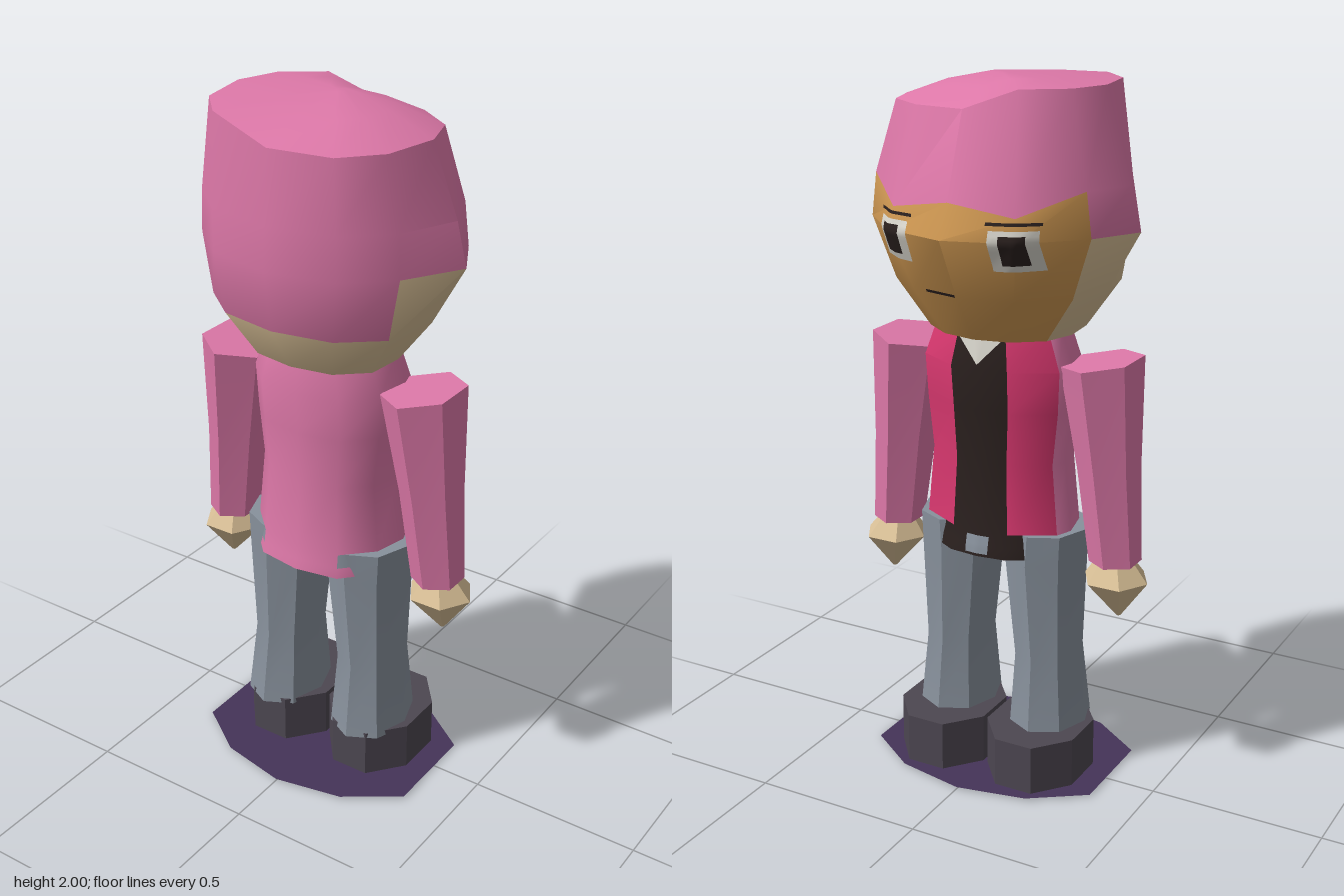
import * as THREE from 'three';
import { toCreasedNormals } from 'three/addons/utils/BufferGeometryUtils.js';

const paint = (name, color, side = THREE.FrontSide) => {
  const m = new THREE.MeshStandardMaterial({ color, side });
  m.name = name;
  return m;
};

export function createModel() {
  const pink = paint('pink cloth', 0xdd78a8);
  const crimson = paint('crimson lapel', 0xd8386f);
  const tan = paint('pale skin', 0xd8bf96);
  const orange = paint('face skin', 0xcf9852);
  const denim = paint('grey denim', 0x88919c);
  const shoe = paint('dark shoe', 0x4d4751);
  const black = paint('black', 0x2a201e);
  const white = paint('off white', 0xd8d5cc);
  const shade = paint('purple base', 0x453458, THREE.DoubleSide);

  const model = new THREE.Group();
  const add = (name, geo, mat, parent = model) => {
    const mesh = new THREE.Mesh(geo, mat);
    mesh.name = name;
    parent.add(mesh);
    return mesh;
  };

  // Skin closed rings (listed bottom to top, counterclockwise from above); pick(band, column) gives the material
  function loft(name, rings, pick, parent = model, crease = 0.75) {
    const n = rings[0].length, pos = rings.flat(2), byMat = new Map();
    const tri = (m, ...v) => byMat.set(m, [...(byMat.get(m) || []), ...v]);
    const last = rings.length - 1;
    const centre = (r) => {
      const c = [0, 1, 2].map((k) => r.reduce((s, p) => s + p[k], 0) / n);
      pos.push(...c);
      return pos.length / 3 - 1;
    };
    const lo = centre(rings[0]), hi = centre(rings[last]);
    for (let j = 0; j < n; j++) {
      const k = (j + 1) % n;
      for (let i = 0; i < last; i++) {
        const a = i * n + j, b = i * n + k;
        tri(pick(i, j), a, b, b + n, a, b + n, a + n);
      }
      tri(pick(0, j), lo, k, j);
      tri(pick(last - 1, j), hi, last * n + j, last * n + k);
    }
    const geo = new THREE.BufferGeometry(), index = [], mats = [...byMat.keys()];
    mats.forEach((m, i) => {
      geo.addGroup(index.length, byMat.get(m).length, i);
      index.push(...byMat.get(m));
    });
    geo.setAttribute('position', new THREE.Float32BufferAttribute(pos, 3));
    geo.setIndex(index);
    return add(name, toCreasedNormals(geo, crease), mats, parent);
  }

  // Mirrored ring from half an outline [x, z, y?] running from the +z end to the -z end
  const mirrorRing = (y, half) => {
    const right = half.map(([x, z, py]) => [x, py ?? y, z]);
    const left = right.slice(1, -1).reverse().map(([x, py, z]) => [-x, py, z]);
    return [...right, ...left];
  };
  const halfColumn = (j) => (j < 6 ? j : 11 - j);

  const oval = (cx, y, cz, rx, rz, n, phase = 0, slope = 0) =>
    Array.from({ length: n }, (_, i) => {
      const a = phase + (i / n) * Math.PI * 2;
      const dx = Math.sin(a) * rx;
      return [cx + dx, y + dx * slope, cz + Math.cos(a) * rz];
    });

  // Thin plate draped over the -z side of a mesh
  const ray = new THREE.Raycaster();
  function patch(name, target, x0, x1, y0, y1, mat, lift = 0.006, taper = false) {
    const geo = new THREE.PlaneGeometry(1, 1, 8, 8), p = geo.attributes.position;
    for (let i = 0; i < p.count; i++) {
      const v = p.getY(i) + 0.5;
      const x = (x0 + x1) / 2 - p.getX(i) * (x1 - x0) * (taper ? v : 1);
      const y = y0 + (y1 - y0) * v;
      ray.set(new THREE.Vector3(x, y, -2), new THREE.Vector3(0, 0, 1));
      const hit = ray.intersectObject(target)[0];
      p.setXYZ(i, x, y, (hit ? hit.point.z : 0) - lift);
    }
    geo.computeVertexNormals();
    add(name, geo, mat);
  }

  // Head and hood
  const crown = [[0, 0.305], [0.18, 0.28], [0.27, 0.18], [0.3, 0.02], [0.26, -0.1], [0.15, -0.18], [0, -0.2]];
  const headRings = [
    mirrorRing(1.31, [[0, 0.22], [0.12, 0.2], [0.2, 0.13], [0.21, 0.02], [0.18, -0.07], [0.1, -0.13], [0, -0.15]]),
    mirrorRing(1.44, [[0, 0.3], [0.17, 0.27], [0.28, 0.18], [0.31, 0.02], [0.27, -0.1], [0.15, -0.2], [0, -0.235]]),
    mirrorRing(1.61, [[0, 0.325], [0.19, 0.285], [0.31, 0.18], [0.405, 0.02], [0.33, -0.12], [0.19, -0.265], [0, -0.322]]),
    mirrorRing(1.73, [[0, 0.32], [0.19, 0.285], [0.305, 0.18], [0.375, 0.02], [0.315, -0.12],
      [0.18, -0.25, 1.67], [0, -0.28, 1.7]]),
    mirrorRing(1.925, crown),
    mirrorRing(1.972, crown.map(([x, z]) => [x * 0.55, z * 0.55])),
    mirrorRing(2, crown.map(([x, z]) => [x * 0.1, z * 0.1])),
  ];
  // The hood sits a little higher on one side
  headRings[4].forEach((p) => { if (p[0] < -0.01) p[1] += 0.055; });
  headRings[5].forEach((p) => { if (p[0] < -0.01) p[1] += 0.022; });
  const head = loft('head and hood', headRings, (i, j) => {
    const c = halfColumn(j);
    if (i > 2) return pink;
    if (c > 3) return orange;
    return i === 2 || (i === 1 && c < 2) ? pink : tan;
  });

  // Face details
  for (const s of [1, -1]) {
    const spot = (name, a, b, y0, y1, mat, lift) =>
      patch(name, head, Math.min(s * a, s * b), Math.max(s * a, s * b), y0, y1, mat, lift);
    spot('eye white', 0.12, 0.235, 1.53, 1.64, white, 0.006);
    spot('pupil', 0.148, 0.21, 1.548, 1.628, black, 0.0095);
    spot('eyebrow', 0.11, 0.24, 1.652, 1.66, black, 0.006);
  }
  patch('mouth', head, 0, 0.1, 1.445, 1.453, black);

  // Jacket: outline scaled per level as [y, width, back, front]
  const coat = [[0, 1], [0.55, 0.9], [0.9, 0.5], [1, 0], [0.92, -0.4], [0.38, -0.93], [0, -1]];
  const torso = loft('jacket', [
    [0.68, 0.23, 0.21, 0.14], [0.71, 0.227, 0.205, 0.135], [0.75, 0.225, 0.198, 0.125], [0.95, 0.205, 0.187, 0.115],
    [1.1, 0.222, 0.19, 0.12], [1.22, 0.228, 0.198, 0.13], [1.32, 0.19, 0.185, 0.11],
  ].map(([y, w, b, f]) => mirrorRing(y, coat.map(([x, z]) => [x * w, z * (z > 0 ? b : f)]))), (i, j) => {
    const c = halfColumn(j);
    if (c === 5) return black;
    if (c === 4) return i < 2 ? black : crimson;
    return i === 1 && c > 0 ? denim : pink;
  });
  patch('collar', torso, -0.075, 0.075, 1.235, 1.315, white, 0.006, true);
  patch('belt buckle', torso, -0.035, 0.035, 0.69, 0.74, denim);

  // Limbs
  for (const s of [1, -1]) {
    const arm = new THREE.Group();
    arm.name = s > 0 ? 'left arm' : 'right arm';
    model.add(arm);
    loft('sleeve', [
      oval(s * 0.353, 0.68, 0.022, 0.073, 0.078, 6),
      oval(s * 0.327, 0.95, 0.025, 0.085, 0.1, 6),
      oval(s * 0.298, 1.247, 0.03, 0.11, 0.135, 6, 0, s * 0.13),
    ], () => pink, arm);
    loft('hand', [
      oval(s * 0.37, 0.52, 0.015, 0.006, 0.006, 6, Math.PI / 6),
      oval(s * 0.36, 0.63, 0.015, 0.095, 0.095, 6, Math.PI / 6),
      oval(s * 0.355, 0.69, 0.018, 0.05, 0.05, 6, Math.PI / 6),
    ], () => tan, arm);

    const leg = new THREE.Group();
    leg.name = s > 0 ? 'left leg' : 'right leg';
    model.add(leg);
    loft('trouser leg', [
      oval(s * 0.15, 0.135, 0.033, 0.115, 0.142, 8),
      oval(s * 0.146, 0.36, 0.03, 0.096, 0.116, 8),
      oval(s * 0.135, 0.66, 0.03, 0.118, 0.134, 8),
      oval(s * 0.14, 0.75, 0.03, 0.116, 0.134, 8),
    ], () => denim, leg);
    loft('shoe', [0, 0.15].map((y) => oval(s * 0.145, y, -0.02, 0.15, 0.184, 8, Math.PI / 8)),
      () => shoe, leg, 0.5);
  }

  // Flat base under the shoes
  const edge = [[0, 0.29], [0.2, 0.25], [0.353, 0.143], [0.353, -0.143], [0.2, -0.25], [0, -0.29],
    [-0.2, -0.25], [-0.353, -0.143], [-0.353, 0.143], [-0.2, 0.25]];
  const base = add('base disc', new THREE.ShapeGeometry(
    new THREE.Shape(edge.map(([x, y]) => new THREE.Vector2(x, y)))), shade);
  base.rotation.x = -Math.PI / 2;
  base.position.set(0, 0.005, 0.03);

  return model;
}
